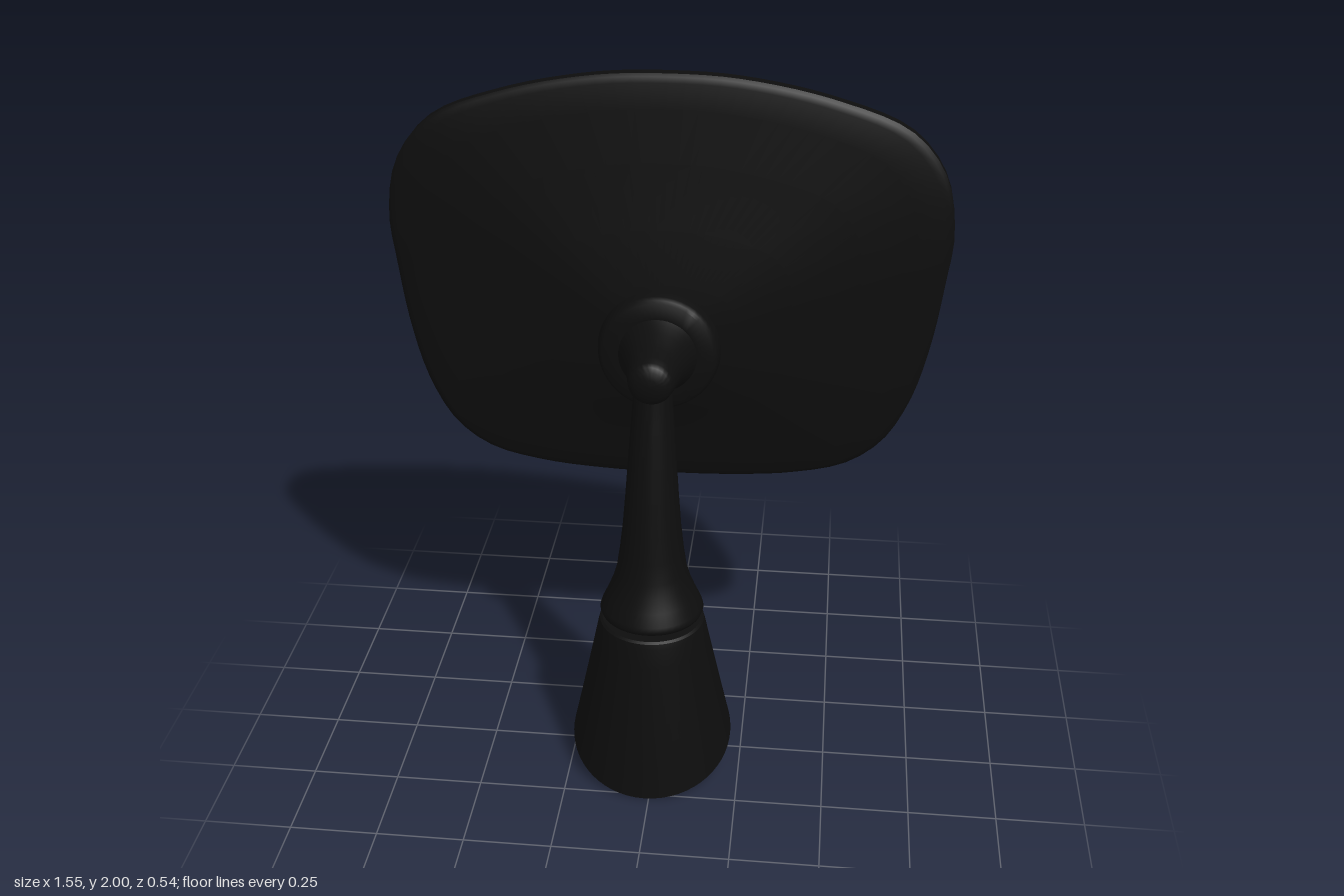
import * as THREE from 'three';
import { toCreasedNormals } from 'three/addons/utils/BufferGeometryUtils.js';

const black = new THREE.MeshStandardMaterial({ color: 0x0d0d0d });
const grey = new THREE.MeshStandardMaterial({ color: 0xcccccc });
const CX = -0.013; // centre line of the stand

// Skin through rings of equal point count, closed at both ends
function loft(rings, crease = 0.6) {
  const n = rings[0].length, pos = [], idx = [];
  rings.flat().forEach(p => pos.push(p.x, p.y, p.z));
  for (let i = 0; i < rings.length - 1; i++) {
    for (let j = 0; j < n; j++) {
      const k = (j + 1) % n, a = i * n, b = a + n;
      idx.push(a + j, a + k, b + k, a + j, b + k, b + j);
    }
  }
  [0, rings.length - 1].forEach((r, end) => {
    const c = rings[r].reduce((s, p) => s.add(p), new THREE.Vector3()).divideScalar(n);
    const ci = pos.length / 3;
    pos.push(c.x, c.y, c.z);
    for (let j = 0; j < n; j++) {
      const a = r * n + j, b = r * n + (j + 1) % n;
      if (end) idx.push(ci, a, b);
      else idx.push(ci, b, a);
    }
  });
  const g = new THREE.BufferGeometry();
  g.setAttribute('position', new THREE.Float32BufferAttribute(pos, 3));
  g.setIndex(idx);
  return toCreasedNormals(g, crease);
}

function part(name, geometry, material = black) {
  const m = new THREE.Mesh(geometry, material);
  m.name = name;
  return m;
}

// Horizontal ring around the stand
function ring(y, r, zc, n = 48) {
  return Array.from({ length: n }, (_, j) => {
    const a = j / n * Math.PI * 2;
    return new THREE.Vector3(CX + r * Math.cos(a), y, zc - r * Math.sin(a));
  });
}

// Mirror outline: right half from bottom to top, then mirrored
const half = [[0, 0.81], [0.2, 0.815], [0.37, 0.832], [0.52, 0.872], [0.62, 0.95], [0.69, 1.08],
  [0.735, 1.25], [0.763, 1.45], [0.775, 1.58], [0.745, 1.74], [0.65, 1.86], [0.45, 1.94], [0.2, 1.99], [0, 2]];
const full = [...half, ...half.slice(1, -1).reverse().map(([x, y]) => [-x, y])];
const outline = new THREE.CatmullRomCurve3(full.map(([x, y]) => new THREE.Vector3(x, y, 0)), true)
  .getSpacedPoints(96).slice(0, -1);
const outlineRing = (z, sx, sy = sx, cy = 1.25) =>
  outline.map(p => new THREE.Vector3(p.x * sx, cy + (p.y - cy) * sy, z));

// Base: flared sleeve cut by a sloping plane at the bottom
function baseGeometry() {
  const n = 64, rings = [];
  const point = (a, y) => {
    const k = (0.48 - y) / 0.48;
    const r = 0.154 + 0.09 * k;
    return new THREE.Vector3(CX + r * (1 + 0.05 * k) * Math.cos(a), y, 0.05 - 0.025 * k - r * Math.sin(a));
  };
  for (let i = 0; i <= 8; i++) {
    rings.push(Array.from({ length: n }, (_, j) => {
      const a = j / n * Math.PI * 2;
      let cut = 0.1;
      for (let s = 0; s < 12; s++) cut = (0.27 - point(a, cut).z) * 0.427;
      return point(a, THREE.MathUtils.lerp(cut, 0.48, i / 8));
    }));
  }
  rings.push(ring(0.495, 0.15, 0.05, n), ring(0.5, 0.143, 0.05, n));
  return loft(rings);
}

export function createModel() {
  const model = new THREE.Group();
  model.name = 'mirrorOnStand';

  model.add(part('base', baseGeometry()));
  model.add(part('grooveRing', loft([ring(0.49, 0.11, 0.05), ring(0.53, 0.11, 0.05)])));

  // Stem: skirt at the bottom, leaning back as it narrows
  const stem = [[0.513, 0.125, 0.05], [0.522, 0.144, 0.05], [0.532, 0.148, 0.05], [0.545, 0.144, 0.05],
    [0.58, 0.128, 0.05], [0.62, 0.112, 0.05], [0.66, 0.1, 0.05], [0.72, 0.091, 0.049], [0.8, 0.082, 0.046],
    [0.9, 0.074, 0.04], [1.0, 0.067, 0.033], [1.1, 0.06, 0.025], [1.2, 0.053, 0.018], [1.26, 0.049, 0.015]];
  model.add(part('stem', loft(stem.map(s => ring(...s)), 0.8)));

  // Pivot joint and collar, turned about the z axis
  const turned = (profile) => {
    const g = new THREE.LatheGeometry(profile.map(([r, z]) => new THREE.Vector2(r, z)), 48);
    g.rotateX(Math.PI / 2).translate(CX, 1.25, 0);
    return toCreasedNormals(g, 0.7);
  };
  model.add(part('pivotJoint', turned([[0.12, -0.12], [0.11, -0.1], [0.1, -0.08], [0.09, -0.05], [0.08, -0.02],
    [0.073, 0.01], [0.066, 0.05], [0.061, 0.075], [0.054, 0.088], [0.042, 0.095], [0.022, 0.1], [0, 0.101]])));
  model.add(part('collar', turned([[0.172, -0.17], [0.172, -0.145], [0.168, -0.12], [0.163, -0.106],
    [0.155, -0.1], [0.11, -0.098], [0, -0.098]])));

  // Housing: rim lip on the back, shallow dome towards the collar
  const lip = [0.955, 0.942, 1.4];
  model.add(part('mirrorHousing', loft([
    outlineRing(-0.262, ...lip), outlineRing(-0.27, ...lip), outlineRing(-0.27, 1), outlineRing(-0.237, 1),
    outlineRing(-0.229, 0.99), outlineRing(-0.224, 0.97), outlineRing(-0.215, 0.88), outlineRing(-0.197, 0.69),
    outlineRing(-0.173, 0.45), outlineRing(-0.15, 0.25), outlineRing(-0.14, 0.1)], 0.7)));
  model.add(part('mirrorGlass', loft([outlineRing(-0.266, ...lip), outlineRing(-0.25, ...lip)]), grey));

  return model;
}
